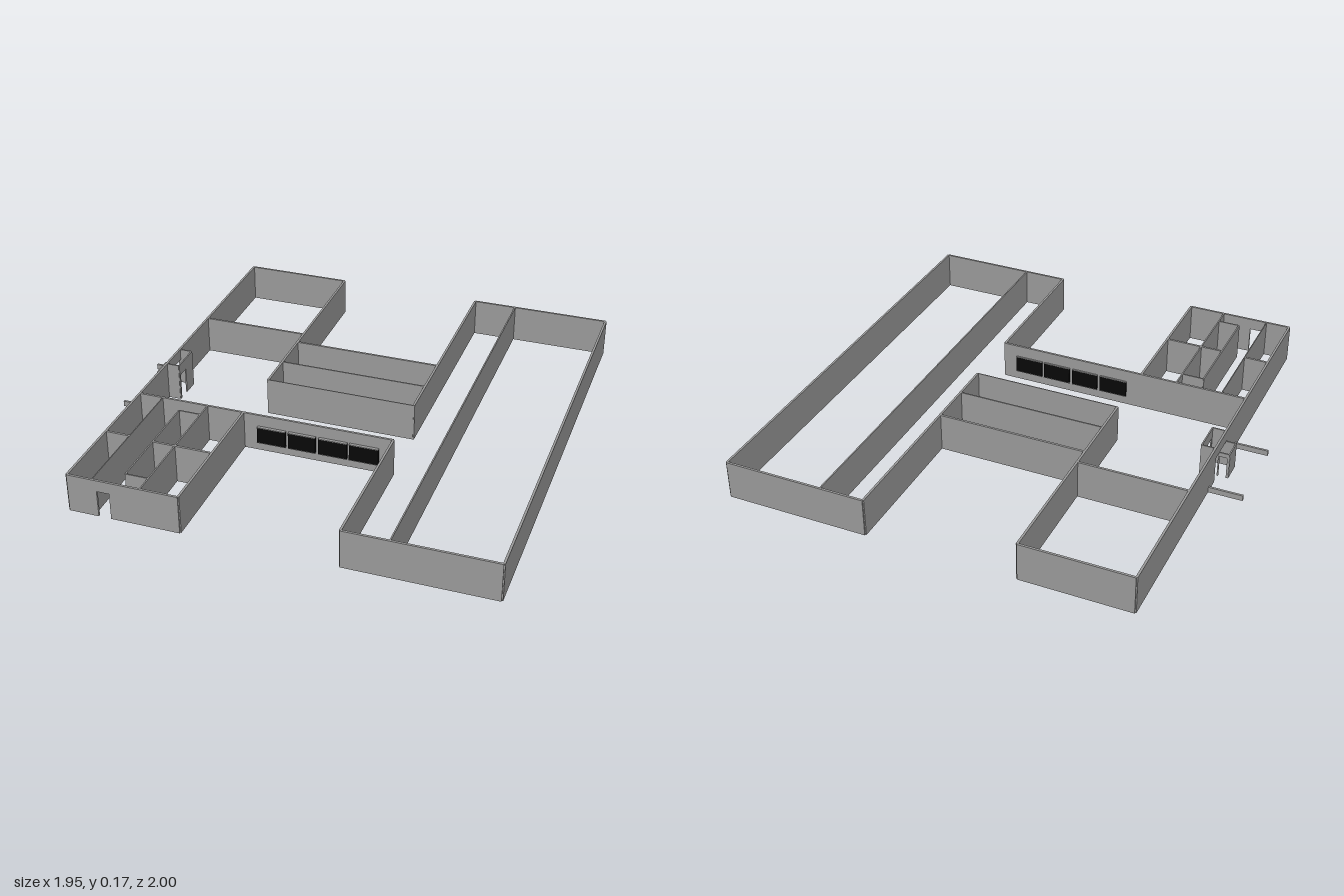
import * as THREE from 'three';

const H = 0.172; // wall height
const T = 0.01; // wall thickness

export function createModel() {
  const model = new THREE.Group();
  const mat = new THREE.MeshStandardMaterial({ color: 0x9c9c9c, flatShading: true });
  const glass = new THREE.MeshStandardMaterial({ color: 0x080808, flatShading: true });

  // Wall from (x1,z1) to (x2,z2); holes are [start, end, bottom, top] measured along the wall
  function wall(name, x1, z1, x2, z2, { h = H, t = T, holes = [] } = {}) {
    const len = Math.hypot(x2 - x1, z2 - z1);
    const outline = [[0, 0]];
    // openings that reach the ground are notches in the outline
    for (const [a, b, , top] of holes.filter(o => o[2] === 0)) {
      outline.push([a, 0], [a, top], [b, top], [b, 0]);
    }
    outline.push([len, 0], [len, h], [0, h]);
    const shape = new THREE.Shape(outline.map(p => new THREE.Vector2(...p)));
    for (const [a, b, low, top] of holes.filter(o => o[2] > 0)) {
      shape.holes.push(new THREE.Path([
        new THREE.Vector2(a, low), new THREE.Vector2(a, top),
        new THREE.Vector2(b, top), new THREE.Vector2(b, low),
      ]));
    }
    const geo = new THREE.ExtrudeGeometry(shape, { depth: t, bevelEnabled: false });
    geo.translate(0, 0, -t / 2);
    const mesh = new THREE.Mesh(geo, mat);
    mesh.name = name;
    mesh.position.set(x1, 0, z1);
    mesh.rotation.y = -Math.atan2(z2 - z1, x2 - x1);
    model.add(mesh);
  }

  const W = -0.82, WI = -0.335, E = 0.97, EI = 0.335, N = 0.995;
  const thin = { t: 0.004 };

  // East wing: long hall with a corridor
  wall('eastOuterWall', E, -N, E, N);
  wall('eastCorridorWall', 0.532, -N, 0.532, N, { t: 0.006 });
  wall('eastInnerWallBack', EI, -N, EI, 0.037);
  wall('eastInnerWallFront', EI, 0.325, EI, N);
  for (const z of [-N, N]) wall('eastEndWall', EI, z, E, z);

  // West wing shell, with the entrance opening and the front door
  wall('westOuterWall', W, -N, W, N, { holes: [[N - 0.086, N + 0.05, 0, 0.12]] });
  wall('westInnerWallBack', WI, -N, WI, 0.037);
  wall('westInnerWallFront', WI, 0.325, WI, N);
  wall('westBackWall', W, -N, WI, -N);
  wall('westFrontWall', W, N, WI, N, { holes: [[0.13, 0.185, 0, 0.12]] });
  wall('westRoomDivider', W, -0.41, WI, -0.41);

  // Small rooms at the front of the west wing
  wall('roomPartitionLeft', -0.71, 0.325, -0.71, N, thin);
  wall('roomPartitionRight', -0.5, 0.325, -0.5, N, { t: 0.006, holes: [[0.595, 0.65, 0, 0.12]] });
  wall('roomPartitionMiddle', -0.6, 0.4, -0.6, 0.915, { t: 0.006 });
  wall('roomCrossWall', W, 0.652, -0.71, 0.652);
  wall('roomCrossWall', -0.6, 0.662, WI, 0.662);
  for (const z of [0.402, 0.915]) wall('roomCrossWall', -0.6, z, -0.5, z, { t: 0.006 });

  // Rooms of the connecting block
  wall('middleBackWall', WI, -0.33, EI, -0.33);
  wall('middleDivider', WI, -0.135, EI, -0.135, { t: 0.006 });
  wall('middleCorridorWall', WI, 0.036, EI, 0.036, thin);

  // Window wall with four openings
  const windows = [[-0.268, -0.14], [-0.127, -0.005], [0.009, 0.136], [0.146, 0.275]];
  wall('windowWall', W, 0.325, EI, 0.325, {
    holes: windows.map(([a, b]) => [a - W, b - W, 0.042, 0.118]),
  });

  // Windows: a dark pane standing proud of the wall, with a slim rail above and below
  function box(parent, name, material, w, h, d, x, y, z) {
    const mesh = new THREE.Mesh(new THREE.BoxGeometry(w, h, d), material);
    mesh.name = name;
    mesh.position.set(x, y, z);
    parent.add(mesh);
  }
  for (const [a, b] of windows) {
    const win = new THREE.Group();
    win.name = 'window';
    const mid = (a + b) / 2, w = b - a;
    for (const y of [0.0425, 0.1175]) box(win, 'windowRail', mat, w, 0.003, 0.032, mid, y, 0.328);
    box(win, 'windowPane', glass, w, 0.072, 0.03, mid, 0.08, 0.328);
    model.add(win);
  }

  // Entrance: inner lobby, outer porch and low walls beside the path
  const lobby = { t: 0.006 };
  wall('lobbyInnerWall', -0.76, -0.088, -0.76, 0.052, { t: 0.006, holes: [[0.075, 0.13, 0, 0.12]] });
  for (const z of [-0.088, 0.052]) wall('lobbySideWall', W, z, -0.76, z, lobby);
  const porch = { t: 0.006, h: 0.12 };
  wall('porchFrontWall', -0.868, -0.037, -0.868, 0.052, porch);
  wall('porchSideWall', -0.87, 0.052, W, 0.052, porch);
  wall('porchDoorway', -0.87, -0.037, W, -0.037, { ...porch, holes: [[0.01, 0.044, 0, 0.1]] });
  for (const z of [-0.162, 0.19]) wall('lowPathWall', -0.975, z, W, z, { h: 0.025 });

  return model;
}
